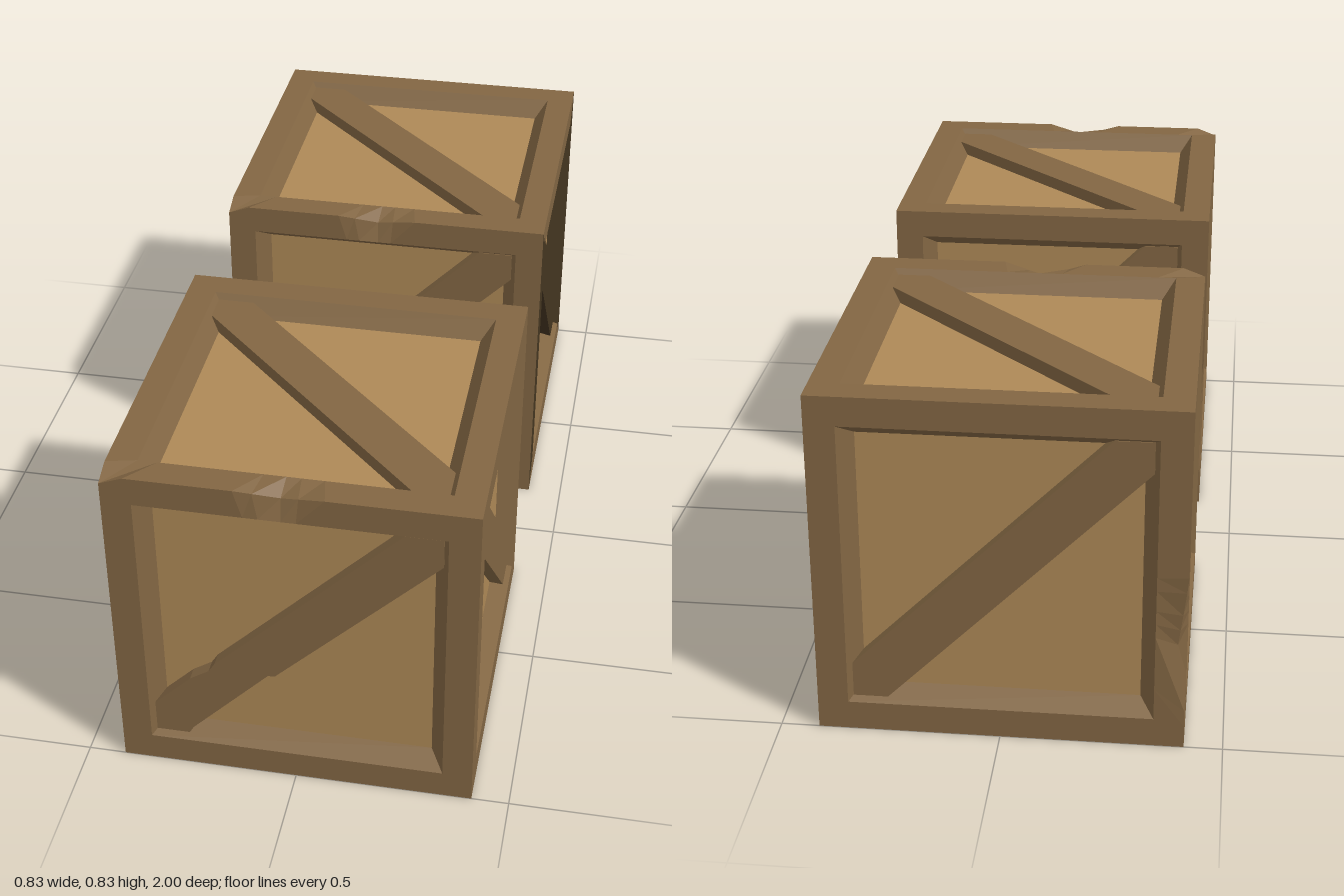
import * as THREE from 'three';

const H = 0.413;      // half the crate size
const IN = 0.344;     // inner edge of the frame
const PANEL = 0.312;  // half the recessed panel
const DEPTH = 0.045;  // recess depth
const PLANK = 0.013;  // how far the brace sits below the frame

const material = (name, color) => {
  const m = new THREE.MeshStandardMaterial({ color });
  m.name = name;
  return m;
};

// points along each outer edge, so that chips can dent it
const half = [0.02, 0.08, 0.12, 0.16, 0.32, 0.36, H];
const STEPS = [...half.map((t) => -t).reverse(), ...half];

// dents worn into the crate edges
const tent = (v, c, w) => Math.max(0, 1 - Math.abs(v - c) / w);
function chip(p) {
  const on = (v) => Math.abs(v - H) < 1e-4;
  const { x, y, z } = p;
  if (on(y) && on(z)) {
    const a = 0.023 * tent(x, -0.02, 0.1);
    const b = 0.02 * tent(x, -H, 0.053);
    p.y -= a + b;
    p.z -= a;
  }
  if (on(-x) && on(-z)) {
    const a = 0.02 * tent(y, -0.16, 0.17);
    p.x += a;
    p.z += a;
  }
  return p;
}

// flat-shaded geometry from four-cornered faces
function quads(list) {
  const pos = [];
  for (const [a, b, c, d] of list) for (const p of [a, b, c, a, c, d]) pos.push(p.x, p.y, p.z);
  const g = new THREE.BufferGeometry();
  g.setAttribute('position', new THREE.Float32BufferAttribute(pos, 3));
  g.computeVertexNormals();
  return g;
}

// mitred rail with a bevelled inner wall, turned k quarter turns on its face
function railGeometry(at, k) {
  const point = (t, size, depth) => {
    let x = (t * size) / H, y = -size;
    for (let i = 0; i < k; i++) [x, y] = [-y, x];
    return chip(at(x, y, depth));
  };
  const list = [];
  for (let i = 0; i < STEPS.length - 1; i++) {
    const a = STEPS[i], b = STEPS[i + 1];
    list.push([point(a, H, 0), point(b, H, 0), point(b, IN, 0), point(a, IN, 0)]);
  }
  list.push([point(-H, IN, 0), point(H, IN, 0), point(H, PANEL, DEPTH), point(-H, PANEL, DEPTH)]);
  return quads(list);
}

// diagonal brace outlines, lower left to upper right
const straight = [[0.247, 0.333], [0.333, 0.333], [0.333, 0.26], [-0.255, -0.333], [-0.333, -0.333], [-0.333, -0.25]];
const worn = [[0.247, 0.333], [0.333, 0.333], [0.333, 0.26], [-0.045, -0.118], [-0.062, -0.12],
  [-0.245, -0.313], [-0.255, -0.331], [-0.333, -0.331], [-0.333, -0.248], [-0.245, -0.158],
  [-0.2, -0.128], [-0.185, -0.103]];

function braceGeometry(outline, flip) {
  const shape = new THREE.Shape(outline.map(([x, y]) => new THREE.Vector2(flip ? -x : x, y)));
  const g = new THREE.ExtrudeGeometry(shape, { depth: DEPTH - PLANK, bevelEnabled: false });
  return g.translate(0, 0, H - DEPTH);
}

// each side: horizontal axis, vertical axis, outward axis, brace style
const SIDES = [
  { name: 'front', u: [1, 0, 0], v: [0, 1, 0], n: [0, 0, 1], outline: worn },
  { name: 'right', u: [0, 0, -1], v: [0, 1, 0], n: [1, 0, 0], outline: straight, flip: true },
  { name: 'back', u: [-1, 0, 0], v: [0, 1, 0], n: [0, 0, -1], outline: straight },
  { name: 'left', u: [0, 0, 1], v: [0, 1, 0], n: [-1, 0, 0], outline: straight, flip: true },
  { name: 'top', u: [1, 0, 0], v: [0, 0, -1], n: [0, 1, 0], outline: straight, flip: true },
  { name: 'bottom', u: [1, 0, 0], v: [0, 0, 1], n: [0, -1, 0], outline: worn },
];

function createCrate(name, mats, hasDarkSide) {
  const crate = new THREE.Group();
  crate.name = name;
  const add = (part, geometry, mat) => {
    const mesh = new THREE.Mesh(geometry, mat);
    mesh.name = part;
    crate.add(mesh);
  };
  for (const side of SIDES) {
    const axes = [side.u, side.v, side.n].map((a) => new THREE.Vector3(...a));
    const basis = new THREE.Matrix4().makeBasis(...axes);
    const at = (x, y, depth) => new THREE.Vector3(x, y, H - depth).applyMatrix4(basis);
    const dark = hasDarkSide && side.name === 'right';

    // frame: bottom, right, top and left rails
    for (let k = 0; k < 4; k++) {
      add(`${side.name}Rail`, railGeometry(at, k), dark && k % 2 === 1 ? mats.dark : mats.frame);
    }
    // recessed panel
    const corners = [[-1, -1], [1, -1], [1, 1], [-1, 1]].map(([x, y]) => at(x * PANEL, y * PANEL, DEPTH));
    add(`${side.name}Panel`, quads([corners]), mats.panel);
    // diagonal brace
    add(`${side.name}Brace`, braceGeometry(side.outline, side.flip).applyMatrix4(basis), dark ? mats.dark : mats.frame);
  }
  return crate;
}

export function createModel() {
  const mats = {
    frame: material('frameWood', 0x826643),
    panel: material('panelWood', 0xae8957),
    dark: material('darkWood', 0x453621),
  };
  const model = new THREE.Group();
  model.name = 'crates';
  for (const s of [1, -1]) {
    const crate = createCrate(s > 0 ? 'frontCrate' : 'backCrate', mats, s < 0);
    crate.position.set(0, H, s * (1 - H));
    model.add(crate);
  }
  return model;
}
